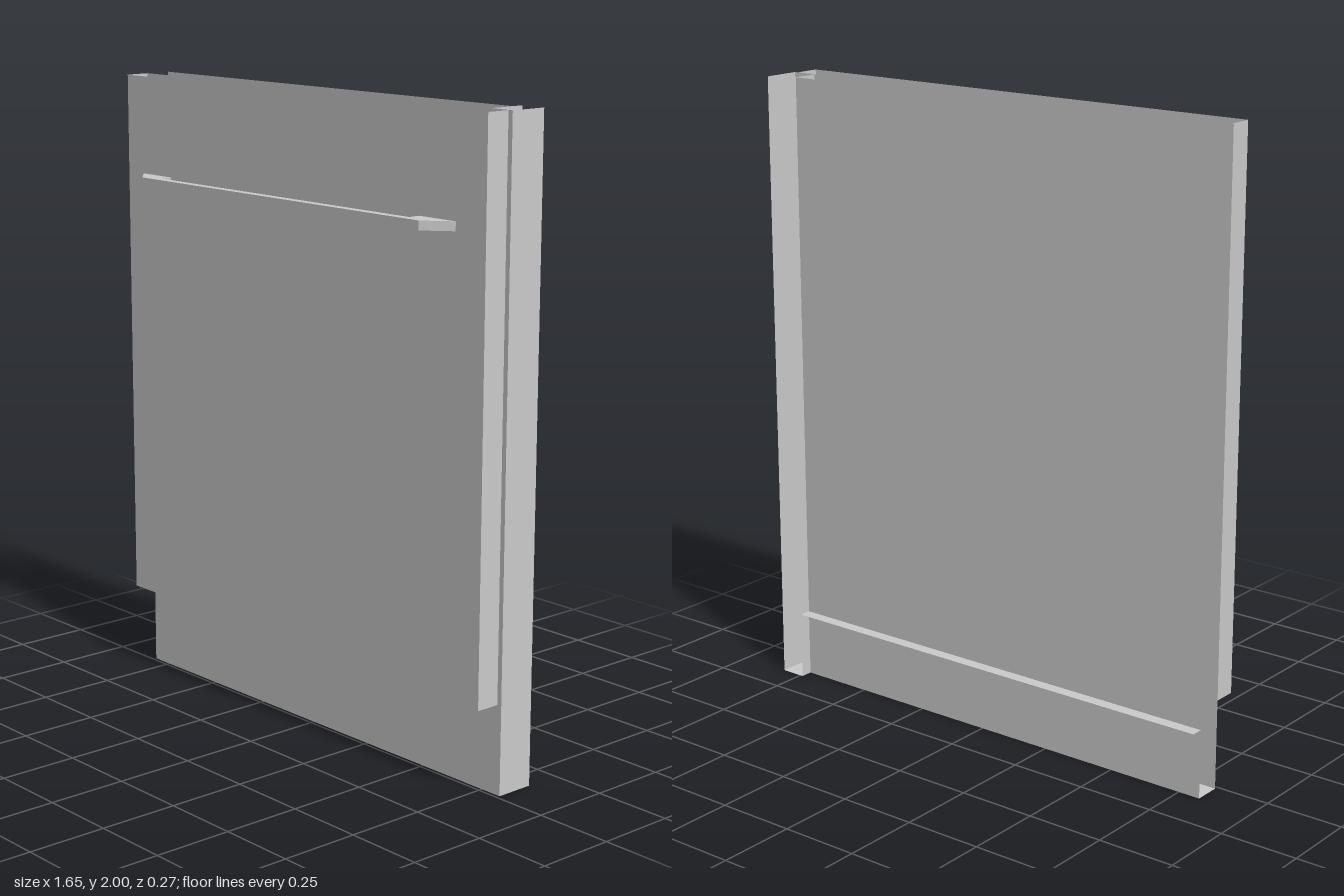
import * as THREE from 'three';

const material = new THREE.MeshStandardMaterial({ color: 0xcccccc, side: THREE.DoubleSide, flatShading: true });

// Thin sheet spanning two opposite corners; one axis must have zero extent.
function sheet(name, [x0, x1], [y0, y1], [z0, z1]) {
  const w = x1 - x0, h = y1 - y0, d = z1 - z0;
  let geometry;
  if (d === 0) geometry = new THREE.PlaneGeometry(w, h);
  else if (w === 0) geometry = new THREE.PlaneGeometry(d, h).rotateY(Math.PI / 2);
  else geometry = new THREE.PlaneGeometry(w, d).rotateX(-Math.PI / 2);
  const mesh = new THREE.Mesh(geometry, material);
  mesh.name = name;
  mesh.position.set((x0 + x1) / 2, (y0 + y1) / 2, (z0 + z1) / 2);
  return mesh;
}

function createDoor() {
  const door = new THREE.Group();
  door.name = 'door';
  const x = [-0.817, 0.811], y = [0.28, 2], z = [-0.008, 0.071];
  // Shallow tray: front, sides and bottom, open at the top
  door.add(sheet('doorFront', x, y, [z[1], z[1]]));
  for (const [name, sx] of [['doorLeftSide', x[1]], ['doorRightSide', x[0]]]) {
    door.add(sheet(name, [sx, sx], y, z));
  }
  door.add(sheet('doorBottom', x, [y[0], y[0]], z));
  return door;
}

function createBody() {
  const body = new THREE.Group();
  body.name = 'body';
  const left = 0.823, right = -0.823, post = 0.74;
  const front = -0.012, inner = -0.098, back = -0.137;
  const height = [0, 2], ledgeY = 0.22;
  // Front skin, running down to the toe kick
  body.add(sheet('frontPanel', [right, post], height, [front, front]));
  body.add(sheet('postFront', [post, left], height, [front, front]));
  // Channel post on the left, open at the back
  body.add(sheet('postOuterSide', [left, left], height, [back, front]));
  body.add(sheet('postInnerSide', [post, post], height, [back, front]));
  body.add(sheet('postFloor', [post, left], [0, 0], [back, front]));
  // Rear skin with a ledge above the toe space
  body.add(sheet('rearPanel', [right, post], [ledgeY, 2], [inner, inner]));
  body.add(sheet('toeBack', [right, post], [0, ledgeY], [inner, inner]));
  body.add(sheet('rearLedge', [right, post], [ledgeY, ledgeY], [back, inner]));
  body.add(sheet('toeFloor', [right, post], [0, 0], [inner, front]));
  return body;
}

// Straight bar with sloped ends, standing off the door on two feet
function createHandle() {
  const outline = [
    [-0.74, 0.071], [-0.66, 0.137], [0.612, 0.137], [0.692, 0.071],
    [0.545, 0.071], [0.545, 0.11], [-0.597, 0.11], [-0.597, 0.071],
  ].map(([x, z]) => new THREE.Vector2(x, z));
  const geometry = new THREE.ExtrudeGeometry(new THREE.Shape(outline), { depth: 0.028, bevelEnabled: false });
  geometry.rotateX(Math.PI / 2);
  const handle = new THREE.Mesh(geometry, material);
  handle.name = 'handle';
  handle.position.y = 1.688;
  return handle;
}

export function createModel() {
  const model = new THREE.Group();
  model.name = 'dishwasherFront';
  model.add(createBody(), createDoor(), createHandle());
  return model;
}
